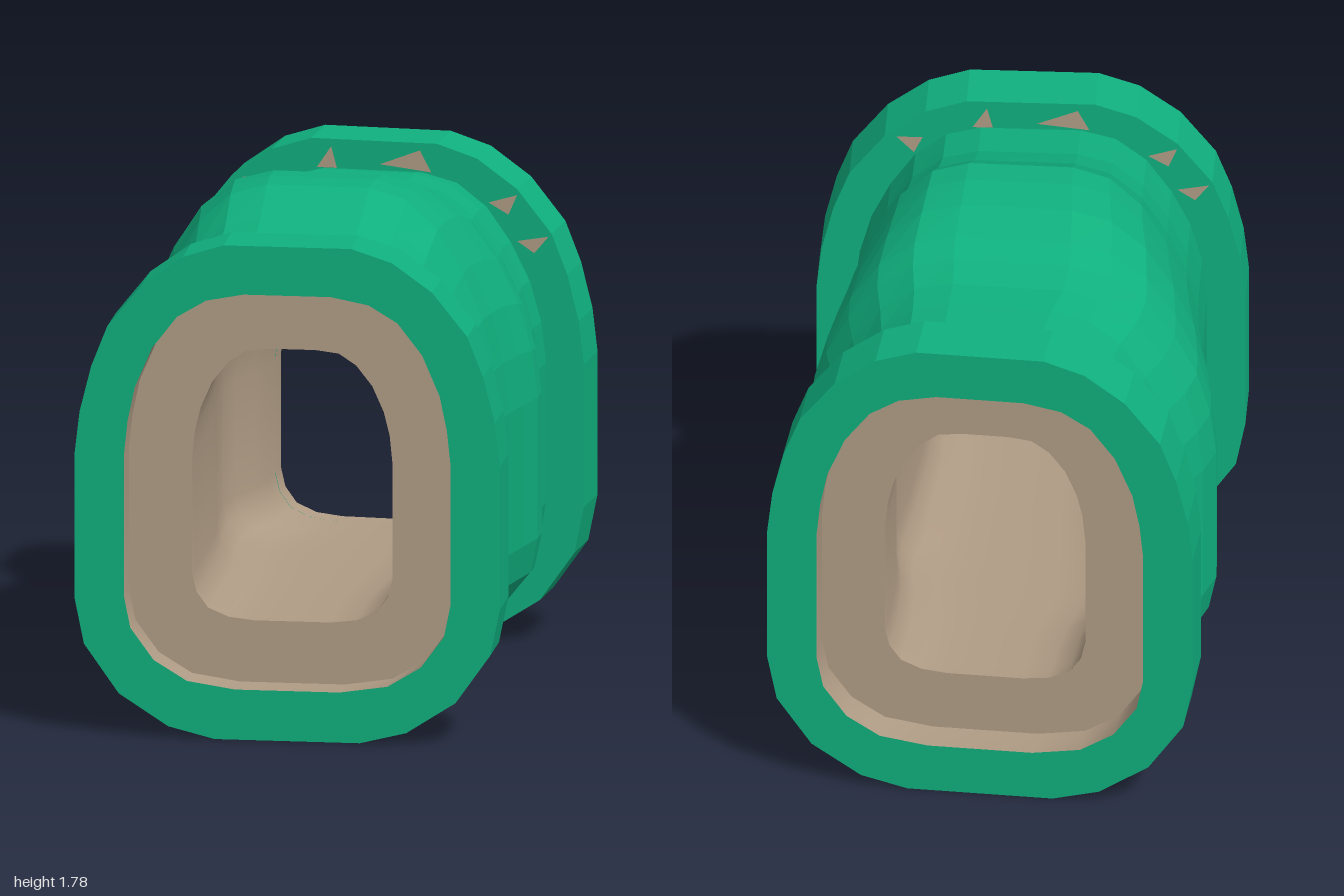
import * as THREE from 'three';
import { toCreasedNormals } from 'three/addons/utils/BufferGeometryUtils.js';

// Right halves of the rounded outlines, bottom to top: [x, y]
const FLANGE = [[.25, 0], [.41, .04], [.58, .15], [.7, .32], [.7325, .48], [.7325, .98],
  [.715, 1.13], [.675, 1.29], [.62, 1.43], [.5, 1.58], [.36, 1.68], [.22, 1.725]];
const BODY = [[.2, .135], [.36, .16], [.49, .24], [.58, .37], [.602, .49], [.602, .98],
  [.585, 1.12], [.545, 1.26], [.48, 1.39], [.395, 1.51], [.29, 1.59], [.17, 1.62]];
const RECESS = [[.18, .175], [.345, .2], [.46, .27], [.54, .38], [.5625, .49], [.5625, .98],
  [.55, 1.1], [.525, 1.22], [.465, 1.36], [.38, 1.47], [.28, 1.53], [.15, 1.555]];
const BORE = [[.13, .39], [.22, .4], [.29, .43], [.33, .485], [.345, .55], [.345, .95],
  [.335, 1.05], [.315, 1.13], [.275, 1.22], [.22, 1.29], [.16, 1.33], [.08, 1.34]];

// Stations along the pipe, front to back: [z, centre x, half width, top y]
const STATIONS = [[.8, -.042, .602, 1.62], [.7, -.042, .602, 1.635], [.57, -.043, .603, 1.655],
  [.43, -.04, .61, 1.7], [.27, -.035, .628, 1.78], [.15, -.035, .645, 1.785],
  [0, -.035, .675, 1.77], [-.14, -.03, .7, 1.725], [-.23, -.03, .703, 1.685],
  [-.35, -.025, .67, 1.66], [-.47, -.005, .625, 1.65], [-.6, .01, .603, 1.645],
  [-.74, .022, .602, 1.62]];
const TILT = 0.085, DEPTH = 0.215, RECESS_DEPTH = 0.13;

// Full counter-clockwise ring from a half outline
const mirror = half => [...half, ...half.slice().reverse().map(([x, y]) => [-x, y])];
const flatRing = (half, z) => mirror(half).map(([x, y]) => [x, y, z]);

// Ring widened, raised at the top and gradually turned towards the rear flange
function bulgeRing(half, [z, cx, hw, top]) {
  const peak = half[half.length - 1][1];
  const a = TILT * THREE.MathUtils.clamp((0.8 - z) / 1.54, 0, 1);
  return mirror(half).map(([x, y]) => {
    const lx = x * hw / 0.602;
    const t = Math.max(0, (y - 0.96) / (peak - 0.96));
    return [cx + lx * Math.cos(a), y + (top - 1.62) * t, z + lx * Math.sin(a)];
  });
}

// Skin a sequence of rings; crease 0 gives flat facets
function loft(rings, crease) {
  const n = rings[0].length, index = [];
  for (let i = 0; i < rings.length - 1; i++) {
    for (let j = 0; j < n; j++) {
      const a = i * n + j, b = i * n + (j + 1) % n;
      index.push(a, b, b + n, a, b + n, a + n);
    }
  }
  const geo = new THREE.BufferGeometry();
  geo.setAttribute('position', new THREE.Float32BufferAttribute(rings.flat(2), 3));
  geo.setIndex(index);
  if (crease) return toCreasedNormals(geo, crease);
  const flat = geo.toNonIndexed();
  flat.computeVertexNormals();
  return flat;
}

export function createModel() {
  const green = new THREE.MeshStandardMaterial({ color: 0x10b07e });
  green.name = 'green';
  const tan = new THREE.MeshStandardMaterial({ color: 0xb09c85 });
  tan.name = 'tan';
  const model = new THREE.Group();
  model.name = 'pipe';

  const add = (parent, name, geo, mat) => {
    const mesh = new THREE.Mesh(geo, mat);
    mesh.name = name;
    parent.add(mesh);
    return mesh;
  };

  // Bulging outer shell and smooth inner passage
  const shell = STATIONS.slice().reverse().map(s => bulgeRing(BODY, s));
  add(model, 'bodyShell', loft(shell, 0), green);
  const passage = [[.87, -.042, .602, 1.62], ...STATIONS, [-.808, .029, .602, 1.62]];
  add(model, 'innerPassage', loft(passage.map(s => bulgeRing(BORE, s)), 0.8), tan);

  // Small tan chips on the inner side of each flange
  const chips = [[.02, 1.645, .2, 1.625, .16, 1.7], [-.2, 1.625, -.13, 1.625, -.15, 1.7],
    [-.46, 1.58, -.4, 1.52, -.37, 1.58], [.4, 1.53, .5, 1.56, .47, 1.49],
    [.5, 1.4, .61, 1.42, .56, 1.36]];
  const chipShapes = chips.map(([a, b, c, d, e, f]) => new THREE.Shape(
    [new THREE.Vector2(a, b), new THREE.Vector2(c, d), new THREE.Vector2(e, f)]));

  // End flange facing local +z, with a recessed tan mouth
  function addFlange(name, x, z, turn) {
    const flange = new THREE.Group();
    flange.name = name;
    add(flange, 'collar', loft([flatRing(BORE, -DEPTH), flatRing(FLANGE, -DEPTH),
      flatRing(FLANGE, 0), flatRing(RECESS, 0)], 0), green);
    add(flange, 'mouth', loft([flatRing(RECESS, 0), flatRing(RECESS, -RECESS_DEPTH),
      flatRing(BORE, -RECESS_DEPTH)], 0.8), tan);
    const chip = add(flange, 'chips', new THREE.ShapeGeometry(chipShapes), tan);
    chip.rotation.y = Math.PI;
    chip.position.z = -DEPTH - 0.003;
    flange.position.set(x, 0, z);
    flange.rotation.y = turn;
    model.add(flange);
  }
  addFlange('frontFlange', -0.042, 1, 0);
  addFlange('backFlange', 0.04, -0.9375, Math.PI - TILT);

  return model;
}
